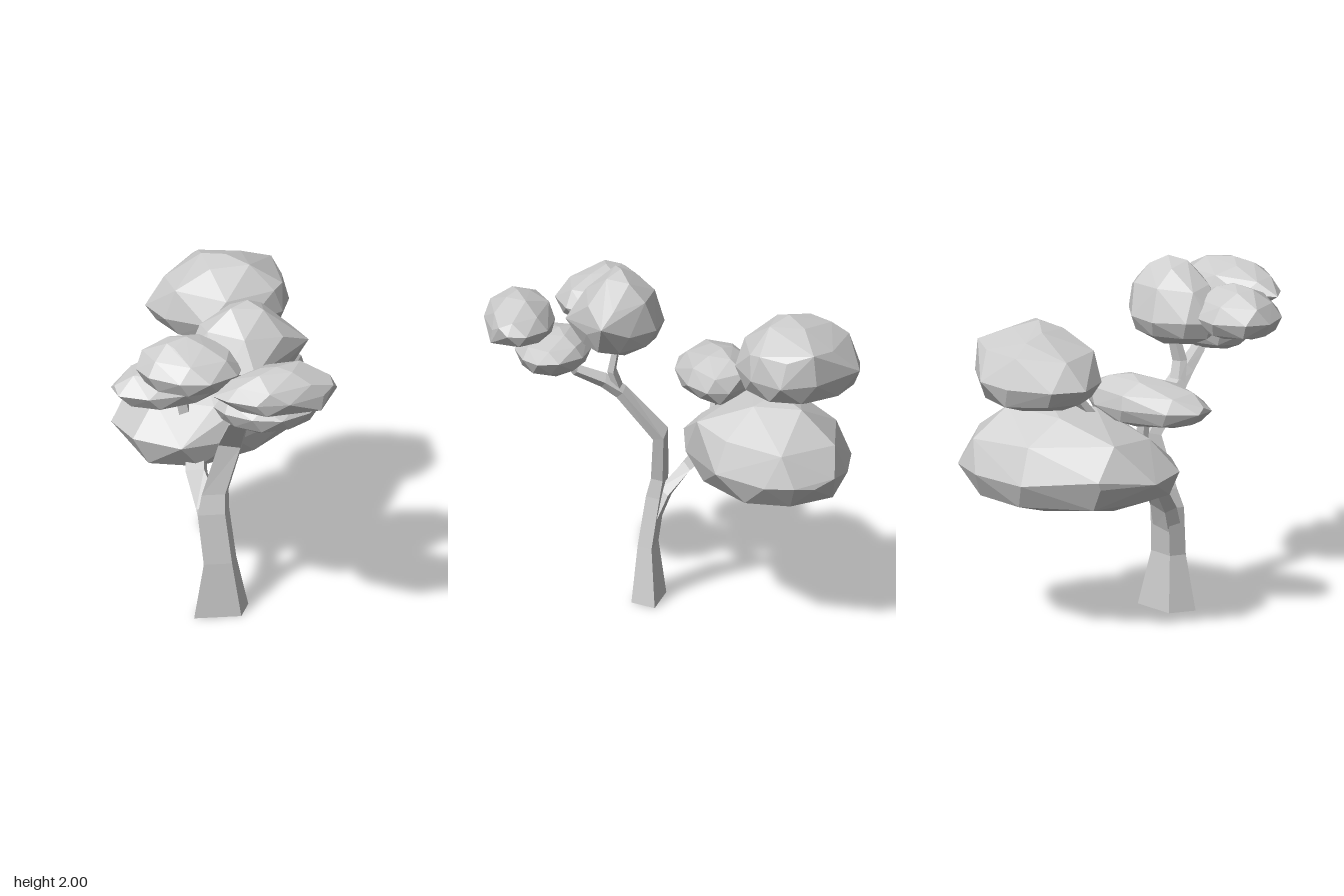
import * as THREE from 'three';
import { ConvexGeometry } from 'three/addons/geometries/ConvexGeometry.js';

const material = new THREE.MeshStandardMaterial({ color: 0xcccccc, flatShading: true });

// Rhombus cross-section of the limbs at scale 1, as [x, z]
const SECTION = [[0.03, 0.125], [0.17, 0.05], [-0.03, -0.125], [-0.17, -0.05]];

// Four-sided limb lofted along nodes [x, y, z, scale]; the first rings may stay level
function limb(name, nodes, level = 0) {
  const up = new THREE.Vector3(0, 1, 0);
  const at = nodes.map(n => new THREE.Vector3(n[0], n[1], n[2]));
  const rings = nodes.map(([, , , scale], k) => {
    const dir = at[Math.min(k + 1, at.length - 1)].clone().sub(at[Math.max(k - 1, 0)]).normalize();
    const turn = new THREE.Quaternion();
    if (k >= level) turn.setFromUnitVectors(up, dir);
    return SECTION.map(([x, z]) =>
      new THREE.Vector3(x * scale, 0, z * scale).applyQuaternion(turn).add(at[k]));
  });
  const pos = [];
  const quad = (a, b, c, d) => [a, b, c, a, c, d].forEach(p => pos.push(p.x, p.y, p.z));
  for (let k = 0; k < rings.length - 1; k++) {
    for (let i = 0; i < 4; i++) {
      const j = (i + 1) % 4;
      quad(rings[k][i], rings[k][j], rings[k + 1][j], rings[k + 1][i]);
    }
  }
  quad(...rings[0].slice().reverse());
  quad(...rings[rings.length - 1]);
  const geometry = new THREE.BufferGeometry();
  geometry.setAttribute('position', new THREE.Float32BufferAttribute(pos, 3));
  geometry.computeVertexNormals();
  const mesh = new THREE.Mesh(geometry, material);
  mesh.name = name;
  return mesh;
}

// Repeatable irregularity in -1..1
function noise(n) {
  const s = Math.sin(n * 12.9898) * 43758.5453;
  return 2 * (s - Math.floor(s)) - 1;
}

// Slightly squared-off circle
const full = v => Math.sign(v) * Math.abs(v) ** 0.88;

// Faceted leaf clump: rings of a skewed oval around a centre, leaning toward the peak,
// plus a few corners that stand out. mid is the height of the widest ring; peak is in radii.
function clump(name, seed, { centre, radii, low, mid, high, skew, peak, corners }) {
  const pts = corners.map(c => new THREE.Vector3(...c));
  const ring = (h, size, count, wobble) => {
    const lean = Math.max(h, 0);
    for (let i = 0; i < count; i++) {
      const n = seed * 101 + Math.round(h * 20) * 13 + i;
      const t = (i + h) / count * Math.PI * 2;
      const s = size * (1 + wobble * noise(n));
      const y = mid + h * (h < 0 ? mid - low : high - mid);
      pts.push(new THREE.Vector3(
        centre[0] + radii[0] * (full(Math.cos(t)) * s + peak[0] * lean),
        y + wobble * noise(n + 50) * (high - low) * 0.6,
        centre[1] + radii[1] * (full(Math.sin(t + Math.asin(skew))) * s + peak[1] * lean)));
    }
  };
  ring(-1, 0.5, 5, 0);
  ring(-0.65, 0.84, 9, 0.04);
  ring(0, 0.98, 10, 0.03);
  ring(0.5, 0.82, 7, 0.07);
  ring(0.86, 0.4, 4, 0.06);
  ring(1, 0, 1, 0);
  const mesh = new THREE.Mesh(new ConvexGeometry(pts), material);
  mesh.name = name;
  return mesh;
}

const CLUMPS = {
  largeLowerFoliage: {
    centre: [0.235, -0.475], radii: [0.635, 0.435], low: 0.74, mid: 0.94, high: 1.34, skew: 0.05, peak: [0.2, 0],
    corners: [[0.2, 1.18, -0.05], [0.87, 0.95, -0.32], [0.86, 0.97, -0.58], [0.45, 0.95, -0.04], [0.02, 0.98, -0.91]] },
  upperLeftFoliage: {
    centre: [0.41, -0.58], radii: [0.37, 0.37], low: 1.34, mid: 1.5, high: 1.81, skew: 0.15, peak: [0, 0.15],
    corners: [[0.76, 1.68, -0.5], [0.58, 1.66, -0.25], [0.45, 1.74, -0.77], [0.7, 1.52, -0.82]] },
  rearFoliage: {
    centre: [-0.19, -0.36], radii: [0.37, 0.24], low: 1.19, mid: 1.3, high: 1.47, skew: 0.35, peak: [0.25, 0],
    corners: [[-0.52, 1.33, -0.52], [0.13, 1.38, -0.2]] },
  topFoliage: {
    centre: [-0.26, 0.2], radii: [0.28, 0.27], low: 1.52, mid: 1.67, high: 2, skew: 0.25, peak: [0.15, 0.05],
    corners: [[0.02, 1.75, 0.46], [-0.46, 1.86, 0.13], [-0.54, 1.7, 0.04], [-0.42, 1.68, 0.46], [-0.33, 1.98, 0.19]] },
  rightFoliage: {
    centre: [-0.61, 0.135], radii: [0.27, 0.275], low: 1.58, mid: 1.7, high: 1.88, skew: 0.2, peak: [0, -0.1],
    corners: [[-0.72, 1.86, 0.06]] },
  frontFoliage: {
    centre: [-0.49, 0.71], radii: [0.31, 0.235], low: 1.6, mid: 1.7, high: 1.86, skew: 0.45, peak: [-0.1, 0],
    corners: [[-0.8, 1.7, 0.48], [-0.3, 1.74, 0.94], [-0.4, 1.62, 0.94], [-0.36, 1.85, 0.74]] },
  frontLowerFoliage: {
    centre: [-0.41, 0.54], radii: [0.26, 0.245], low: 1.4, mid: 1.52, high: 1.64, skew: 0.35, peak: [0, -0.15],
    corners: [[-0.57, 1.6, 0.46]] },
};

export function createModel() {
  const tree = new THREE.Group();
  tree.name = 'tree';

  // Trunk bending into the forward limb
  tree.add(limb('trunk', [
    [-0.235, 0, 0.03, 1], [-0.245, 0.32, 0.03, 0.6], [-0.245, 0.61, -0.02, 0.58],
    [-0.22, 0.72, -0.03, 0.5], [-0.13, 1.01, 0.01, 0.48], [-0.26, 1.25, 0.19, 0.38],
    [-0.3, 1.32, 0.28, 0.34], [-0.35, 1.39, 0.43, 0.26], [-0.38, 1.48, 0.5, 0.2]], 4));

  // Smaller branches carrying the clumps
  tree.add(limb('topBranch', [
    [-0.27, 1.24, 0.19, 0.28], [-0.28, 1.38, 0.24, 0.26], [-0.23, 1.6, 0.22, 0.2]]));
  tree.add(limb('rearBranch', [
    [-0.245, 0.45, 0.01, 0.5], [-0.23, 0.62, -0.07, 0.46], [-0.19, 0.78, -0.2, 0.4],
    [0.04, 1.06, -0.4, 0.3], [0.14, 1.27, -0.48, 0.25], [0.25, 1.44, -0.55, 0.2]]));
  tree.add(limb('rearTwig', [
    [-0.14, 0.84, -0.24, 0.26], [-0.14, 1.05, -0.32, 0.22], [-0.17, 1.26, -0.36, 0.18]]));

  // Leaf clumps
  const foliage = new THREE.Group();
  foliage.name = 'foliage';
  Object.entries(CLUMPS).forEach(([name, shape], i) => foliage.add(clump(name, i + 1, shape)));
  tree.add(foliage);
  return tree;
}
